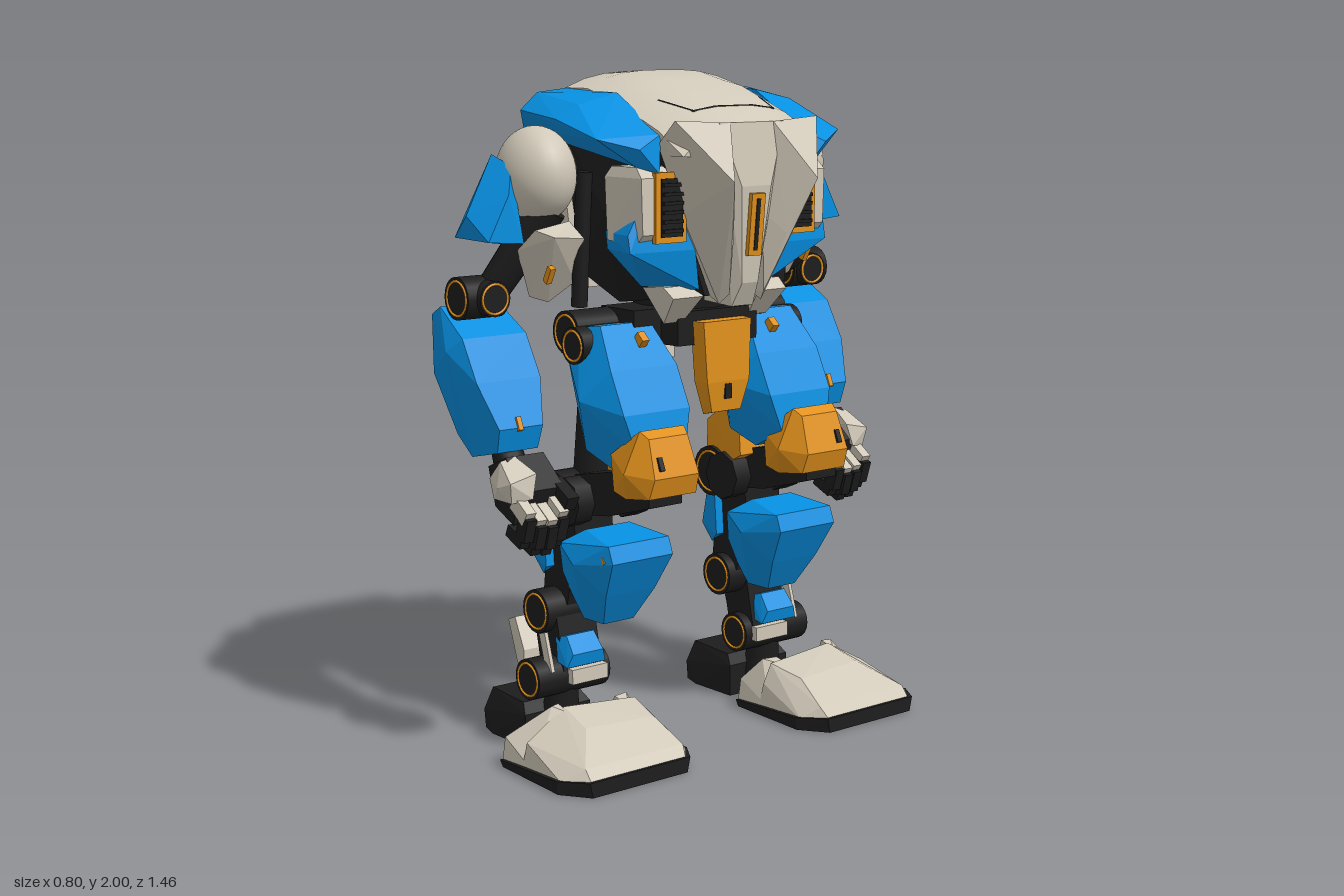
import * as THREE from 'three';
import { ConvexGeometry } from 'three/addons/geometries/ConvexGeometry.js';
import { toCreasedNormals } from 'three/addons/utils/BufferGeometryUtils.js';

const material = (name, color) => Object.assign(new THREE.MeshStandardMaterial({ color }), { name });
const cream = material('cream armour', 0xd0c8b8);
const blue = material('blue armour', 0x068fe0);
const orange = material('orange trim', 0xe0901a);
const dark = material('dark frame', 0x1d1d1d);

let side = 1; // +1 or -1: which side of the body is being built
const V = (x, y, z) => new THREE.Vector3(x, y, z * side);

function add(group, name, mat, geometry) {
  const mesh = new THREE.Mesh(geometry, mat);
  mesh.name = name;
  group.add(mesh);
  return mesh;
}

// Faceted solid through a set of points
const hull = (g, name, mat, pts) => add(g, name, mat, new ConvexGeometry(pts.map(p => V(...p))));

// Faceted solid from a side profile: [x, y, half width]
const plate = (g, name, mat, zc, profile) => hull(g, name, mat,
  profile.flatMap(([x, y, w]) => [[x, y, zc - w], [x, y, zc + w]]));

function box(g, name, mat, x, y, z, sx, sy, sz, rz = 0) {
  const m = add(g, name, mat, new THREE.BoxGeometry(sx, sy, sz));
  m.position.copy(V(x, y, z));
  m.rotation.z = rz;
  return m;
}

function rod(g, name, mat, a, b, r1, r2 = r1, sides = 16) {
  const A = V(...a), B = V(...b), d = B.clone().sub(A);
  const m = add(g, name, mat, new THREE.CylinderGeometry(r2, r1, d.length(), sides));
  m.position.copy(A).add(B).multiplyScalar(0.5);
  m.quaternion.setFromUnitVectors(new THREE.Vector3(0, 1, 0), d.normalize());
  return m;
}

// Sideways joint drum with an orange ring on each end
function joint(g, name, x, y, z0, z1, r) {
  rod(g, name, dark, [x, y, z0], [x, y, z1], r, r, 20);
  for (const z of [z0, z1]) {
    add(g, name + 'Ring', orange, new THREE.TorusGeometry(r * 0.8, 0.004, 6, 24)).position.copy(V(x, y, z));
  }
}

function buildTorso(g) {
  // Arched roof shell: x, crown height, edge height, half width
  const stations = [[-0.39, 1.81, 1.77, 0.27], [-0.35, 1.9, 1.85, 0.28], [-0.29, 1.96, 1.91, 0.283],
    [-0.22, 1.995, 1.95, 0.285], [-0.12, 2, 1.95, 0.28], [0, 1.975, 1.92, 0.275],
    [0.2, 1.91, 1.84, 0.27], [0.29, 1.86, 1.77, 0.25]];
  const roof = [];
  for (const [x, top, edge, w] of stations) {
    for (let i = -4; i <= 4; i++) roof.push([x, top - (top - edge) * Math.abs(i / 4) ** 3, w * i / 4]);
  }
  const shell = hull(g, 'roofShell', cream, roof);
  shell.geometry = toCreasedNormals(shell.geometry, 0.45);
  plate(g, 'backShell', cream, 0, [[-0.385, 1.84, 0.26], [-0.395, 1.75, 0.26], [-0.385, 1.56, 0.25], [-0.31, 1.36, 0.22],
    [-0.25, 1.35, 0.23], [-0.26, 1.84, 0.285], [-0.35, 1.82, 0.283], [-0.34, 1.55, 0.28]]);
  plate(g, 'bodyCore', dark, 0, [[-0.27, 1.4, 0.2], [-0.27, 1.86, 0.27], [0.2, 1.82, 0.27], [0.2, 1.36, 0.1],
    [-0.1, 1.32, 0.18], [0, 1.6, 0.31]]);
  // Back hatch
  box(g, 'hatchFrame', blue, -0.391, 1.675, 0, 0.012, 0.31, 0.23);
  box(g, 'hatch', dark, -0.395, 1.675, 0, 0.012, 0.27, 0.18);
  for (let i = 0; i < 4; i++) for (const z of [-0.04, 0.04]) {
    box(g, 'hatchSlot', blue, -0.402, 1.585 + i * 0.06, z, 0.003, 0.006, 0.03);
  }
  box(g, 'hatchLatch', blue, -0.383, 1.845, 0, 0.012, 0.03, 0.035, -0.5);
  // Chest keel
  plate(g, 'chestKeel', cream, 0, [[0.15, 1.86, 0.1], [0.29, 1.86, 0.12], [0.312, 1.68, 0.055], [0.285, 1.4, 0.03],
    [0.25, 1.33, 0.04], [0.15, 1.34, 0.06]]);
  box(g, 'keelFrame', orange, 0.305, 1.57, 0, 0.02, 0.18, 0.05, -0.1);
  box(g, 'keelSlot', dark, 0.309, 1.57, 0, 0.016, 0.15, 0.014, -0.1);
  // Bracket-shaped seam on the roof
  const seam = [[0.1, 1.92, 0.19], [0.21, 1.892, 0.15], [0.21, 1.903, 0.07], [0.21, 1.903, -0.07], [0.21, 1.892, -0.15], [0.1, 1.92, -0.19]];
  for (let i = 1; i < seam.length; i++) rod(g, 'roofSeam', dark, seam[i - 1], seam[i], 0.003, 0.003, 5);
  // Waist and pelvis
  rod(g, 'waist', dark, [-0.03, 1.2, 0], [-0.03, 1.4, 0], 0.13, 0.16, 12);
  box(g, 'pelvisBar', dark, -0.02, 1.265, 0, 0.16, 0.1, 0.5);
  box(g, 'pelvisFront', dark, 0.08, 1.26, 0, 0.12, 0.1, 0.3);
  plate(g, 'pelvisPlate', orange, 0, [[0.13, 1.28, 0.095], [0.185, 1.28, 0.09], [0.19, 1.1, 0.08], [0.18, 1.01, 0.055],
    [0.14, 1, 0.055], [0.13, 1.1, 0.08]]);
  box(g, 'pelvisSlot', dark, 0.187, 1.07, 0, 0.008, 0.045, 0.025);
  plate(g, 'tailPlate', cream, 0, [[-0.2, 1.4, 0.07], [-0.15, 1.4, 0.07], [-0.12, 1.13, 0.045], [-0.15, 1.12, 0.045]]);
}

function buildChestSide(g) {
  hull(g, 'chestWing', cream, [[0.27, 1.87, 0.265], [0.29, 1.86, 0.08], [0.4, 1.7, 0.155], [0.33, 1.54, 0.1],
    [0.27, 1.37, 0.065], [0.24, 1.34, 0.08], [0.2, 1.36, 0.08], [0.22, 1.6, 0.2], [0.2, 1.8, 0.27], [0.27, 1.6, 0.06]]);
  // Shoulder cover: high outer edge, dropping toward the chest
  hull(g, 'shoulderCover', blue, [[-0.28, 1.82, 0.27], [-0.27, 1.83, 0.4], [-0.22, 1.95, 0.27], [-0.2, 1.94, 0.4],
    [-0.2, 1.89, 0.46], [0, 1.94, 0.26], [0, 1.91, 0.4], [-0.02, 1.87, 0.465], [0.2, 1.83, 0.26], [0.22, 1.79, 0.35],
    [0.16, 1.82, 0.455], [0.22, 1.72, 0.28], [0.19, 1.74, 0.34], [0, 1.8, 0.3]]);
  hull(g, 'chestFlank', blue, [[0.19, 1.76, 0.18], [0.19, 1.74, 0.26], [0.19, 1.55, 0.37], [0.2, 1.5, 0.37],
    [0.2, 1.38, 0.12], [0.03, 1.38, 0.2], [0.04, 1.5, 0.33], [0.06, 1.55, 0.35], [0.08, 1.72, 0.26], [0.22, 1.5, 0.15]]);
  plate(g, 'backTrim', blue, 0.28, [[-0.345, 1.82, 0.012], [-0.305, 1.83, 0.012], [-0.3, 1.55, 0.012],
    [-0.27, 1.45, 0.012], [-0.3, 1.45, 0.012], [-0.345, 1.58, 0.012]]);
  // Side intake
  plate(g, 'intakeHousing', cream, 0.275, [[0.07, 1.71, 0.085], [0.09, 1.74, 0.075], [0.19, 1.74, 0.065], [0.22, 1.71, 0.07],
    [0.22, 1.55, 0.065], [0.19, 1.52, 0.065], [0.08, 1.53, 0.085]]);
  box(g, 'intakeFrame', orange, 0.221, 1.625, 0.245, 0.016, 0.2, 0.11);
  box(g, 'intakeGrille', dark, 0.227, 1.625, 0.245, 0.014, 0.165, 0.075);
  for (let i = 0; i < 6; i++) box(g, 'intakeLouvre', dark, 0.236, 1.56 + i * 0.026, 0.245, 0.012, 0.01, 0.07);
  plate(g, 'bellyPlate', cream, 0.16, [[0.05, 1.38, 0.05], [0.16, 1.39, 0.06], [0.2, 1.36, 0.055], [0.13, 1.28, 0.035]]);
}

function buildArm(g) {
  const ball = add(g, 'shoulderBall', cream, new THREE.SphereGeometry(1, 28, 18));
  ball.scale.set(0.137, 0.14, 0.107);
  ball.position.copy(V(-0.105, 1.71, 0.475));
  hull(g, 'upperArmGuard', blue, [[-0.16, 1.77, 0.59], [-0.09, 1.74, 0.57], [-0.26, 1.54, 0.58], [-0.25, 1.53, 0.66],
    [-0.06, 1.53, 0.67], [-0.06, 1.52, 0.55], [-0.15, 1.6, 0.685], [-0.15, 1.51, 0.54], [-0.06, 1.66, 0.6]]);
  rod(g, 'upperArm', dark, [-0.07, 1.62, 0.46], [-0.19, 1.37, 0.58], 0.06, 0.05, 10);
  rod(g, 'innerPiston', dark, [0, 1.72, 0.38], [-0.03, 1.33, 0.38], 0.024, 0.024, 10);
  hull(g, 'upperArmPlate', cream, [[-0.02, 1.58, 0.42], [-0.02, 1.56, 0.54], [0.02, 1.54, 0.5], [0.01, 1.53, 0.39],
    [-0.05, 1.4, 0.38], [-0.1, 1.34, 0.44], [-0.11, 1.36, 0.5], [-0.08, 1.5, 0.56], [-0.08, 1.5, 0.42]]);
  box(g, 'upperArmMark', orange, -0.022, 1.43, 0.49, 0.02, 0.05, 0.018, -0.5);
  // Elbow
  joint(g, 'elbow', -0.2, 1.36, 0.55, 0.69, 0.063);
  rod(g, 'elbowBoss', dark, [-0.2, 1.36, 0.61], [-0.12, 1.36, 0.61], 0.052);
  const ring = add(g, 'elbowBossRing', orange, new THREE.TorusGeometry(0.043, 0.004, 6, 24));
  ring.position.copy(V(-0.12, 1.36, 0.61));
  ring.rotation.y = Math.PI / 2;
  plate(g, 'forearm', blue, 0.595, [[-0.34, 1.3, 0.09], [-0.28, 1.33, 0.1], [-0.15, 1.25, 0.11], [-0.08, 1.13, 0.11],
    [-0.02, 1, 0.075], [-0.04, 0.93, 0.07], [-0.17, 0.9, 0.07], [-0.23, 0.96, 0.08], [-0.32, 1.13, 0.1], [-0.2, 1.21, 0.135]]);
  box(g, 'forearmMark', orange, -0.027, 1.01, 0.6, 0.018, 0.04, 0.016, 0.4);
  // Hand with four curled fingers and a thumb
  rod(g, 'wrist', dark, [-0.09, 0.93, 0.6], [-0.06, 0.86, 0.6], 0.045, 0.05, 12);
  plate(g, 'palm', dark, 0.585, [[-0.11, 0.88, 0.065], [-0.02, 0.92, 0.065], [0.06, 0.83, 0.08], [0.02, 0.73, 0.07], [-0.07, 0.77, 0.07]]);
  hull(g, 'handGuard', cream, [[-0.1, 0.86, 0.62], [-0.09, 0.85, 0.66], [-0.02, 0.92, 0.62], [-0.02, 0.91, 0.67], [0.06, 0.88, 0.6],
    [0.06, 0.86, 0.69], [0.05, 0.8, 0.68], [0.07, 0.81, 0.62], [-0.04, 0.8, 0.68], [0, 0.84, 0.695]]);
  [0, 0.02, 0.015, -0.01].forEach((drop, i) => {
    const z = 0.535 + i * 0.038;
    box(g, 'fingerBase', cream, 0.06, 0.77 - drop, z, 0.075, 0.045, 0.033, -0.6);
    box(g, 'fingerMiddle', dark, 0.075, 0.72 - drop, z, 0.045, 0.07, 0.033, -0.3);
    box(g, 'fingerTip', dark, 0.035, 0.69 - drop, z, 0.075, 0.036, 0.032, -0.4);
  });
  box(g, 'thumb', dark, 0.06, 0.81, 0.51, 0.1, 0.045, 0.04, -0.5);
}

function buildLeg(g) {
  // Hip and thigh
  joint(g, 'hip', -0.07, 1.25, 0.2, 0.4, 0.065);
  joint(g, 'hipFront', -0.01, 1.22, 0.18, 0.42, 0.055);
  plate(g, 'thigh', blue, 0.275, [[-0.06, 1.2, 0.13], [-0.03, 1.27, 0.11], [0.05, 1.28, 0.09], [0.14, 1.16, 0.12],
    [0.2, 1.04, 0.12], [0.22, 0.93, 0.09], [0.1, 0.87, 0.09], [-0.01, 0.91, 0.1], [0.06, 1.07, 0.175]]);
  box(g, 'thighMark', orange, 0.095, 1.235, 0.25, 0.03, 0.035, 0.025, 0.85);
  rod(g, 'thighStrut', dark, [-0.04, 1.2, 0.3], [-0.08, 0.78, 0.3], 0.055, 0.06, 10);
  plate(g, 'kneeGuard', orange, 0.29, [[0.13, 0.81, 0.09], [0.13, 0.92, 0.1], [0.24, 1, 0.08], [0.27, 0.98, 0.07],
    [0.31, 0.87, 0.08], [0.29, 0.81, 0.085], [0.2, 0.8, 0.1], [0.23, 0.88, 0.13]]);
  box(g, 'kneeSlot', dark, 0.298, 0.91, 0.34, 0.01, 0.04, 0.016, 0.4);
  plate(g, 'innerKneeGuard', orange, 0.235, [[-0.14, 0.82, 0.045], [-0.13, 0.92, 0.05], [-0.06, 0.97, 0.045], [0.02, 0.93, 0.05],
    [0.04, 0.83, 0.06], [-0.04, 0.79, 0.055]]);
  box(g, 'innerKneeSlot', dark, -0.136, 0.87, 0.235, 0.012, 0.04, 0.016);
  plate(g, 'kneeBeam', dark, 0.3, [[-0.1, 0.82, 0.08], [-0.1, 0.7, 0.08], [0.1, 0.73, 0.075], [0.27, 0.78, 0.06],
    [0.27, 0.81, 0.06], [0.1, 0.86, 0.07]]);
  joint(g, 'knee', -0.1, 0.76, 0.17, 0.43, 0.078);
  for (const z of [0.195, 0.405]) rod(g, 'kneeHub', dark, [-0.04, 0.755, z - 0.03], [-0.04, 0.755, z + 0.03], 0.075, 0.075, 8);
  // Shin
  plate(g, 'shinCore', dark, 0.33, [[-0.16, 0.74, 0.07], [-0.04, 0.74, 0.07], [-0.03, 0.6, 0.07], [-0.08, 0.42, 0.07],
    [-0.2, 0.42, 0.07], [-0.18, 0.56, 0.07]]);
  plate(g, 'shinGuard', blue, 0.32, [[-0.07, 0.54, 0.1], [-0.03, 0.64, 0.14], [0.02, 0.68, 0.08], [0.17, 0.66, 0.11],
    [0.19, 0.61, 0.11], [0.13, 0.5, 0.09], [0.07, 0.4, 0.055], [-0.02, 0.4, 0.06], [-0.06, 0.46, 0.07], [0.05, 0.59, 0.15]]);
  box(g, 'shinMark', orange, 0.135, 0.6, 0.43, 0.06, 0.02, 0.02, 0.7);
  plate(g, 'calfGuard', blue, 0.33, [[-0.15, 0.67, 0.1], [-0.2, 0.67, 0.09], [-0.235, 0.56, 0.08], [-0.21, 0.5, 0.06], [-0.14, 0.54, 0.1]]);
  joint(g, 'lowerJoint', -0.14, 0.41, 0.23, 0.47, 0.066);
  plate(g, 'ankleStrut', dark, 0.37, [[-0.2, 0.42, 0.07], [-0.08, 0.42, 0.07], [-0.04, 0.24, 0.07], [-0.15, 0.2, 0.07]]);
  joint(g, 'ankle', -0.1, 0.22, 0.27, 0.53, 0.062);
  box(g, 'anklePlate', cream, -0.03, 0.225, 0.36, 0.025, 0.045, 0.13);
  plate(g, 'ankleGuard', blue, 0.38, [[-0.08, 0.34, 0.06], [-0.04, 0.35, 0.05], [0, 0.3, 0.055], [-0.01, 0.26, 0.07], [-0.06, 0.27, 0.07]]);
  plate(g, 'heelSpur', cream, 0.42, [[-0.3, 0.35, 0.04], [-0.25, 0.37, 0.05], [-0.19, 0.28, 0.06], [-0.19, 0.23, 0.06], [-0.24, 0.23, 0.05]]);
  box(g, 'ankleSidePlate', cream, -0.07, 0.3, 0.48, 0.03, 0.12, 0.012, 0.3);
  // Foot: heel block, sole, and an open-backed toe cap
  plate(g, 'heel', dark, 0.4, [[-0.365, 0, 0.105], [-0.365, 0.06, 0.11], [-0.345, 0.13, 0.09], [-0.16, 0.13, 0.105],
    [-0.13, 0.1, 0.12], [-0.13, 0, 0.12], [-0.3, 0, 0.125]]);
  rod(g, 'footLink', dark, [-0.1, 0.2, 0.4], [-0.12, 0.06, 0.4], 0.045, 0.06, 8);
  rod(g, 'toeLink', dark, [-0.15, 0.1, 0.4], [0.08, 0.06, 0.42], 0.03, 0.03, 8);
  plate(g, 'sole', dark, 0.45, [[-0.03, 0, 0.22], [-0.03, 0.025, 0.23], [0.26, 0.04, 0.235], [0.345, 0.045, 0.18],
    [0.345, 0, 0.17], [0.26, 0, 0.23]]);
  hull(g, 'toeCap', cream, [[0.07, 0.025, 0.23], [0.07, 0.025, 0.67], [0.27, 0.035, 0.225], [0.27, 0.035, 0.675],
    [0.335, 0.045, 0.28], [0.335, 0.045, 0.62], [0.31, 0.075, 0.27], [0.31, 0.075, 0.62], [0.2, 0.135, 0.29],
    [0.19, 0.145, 0.53], [0.08, 0.16, 0.27], [0.07, 0.178, 0.52], [0.08, 0.1, 0.24], [0.08, 0.1, 0.66]]);
  hull(g, 'outerFootWall', cream, [[-0.03, 0.025, 0.56], [-0.03, 0.025, 0.67], [-0.03, 0.09, 0.66], [-0.03, 0.09, 0.56],
    [0.04, 0.18, 0.52], [0.05, 0.18, 0.55], [0.1, 0.165, 0.52], [0.12, 0.03, 0.67], [0.12, 0.03, 0.52]]);
  hull(g, 'innerFootWall', cream, [[-0.03, 0.025, 0.23], [-0.03, 0.025, 0.29], [-0.03, 0.09, 0.24], [-0.03, 0.09, 0.29],
    [0.04, 0.165, 0.27], [0.05, 0.165, 0.32], [0.12, 0.15, 0.32], [0.12, 0.03, 0.23], [0.12, 0.03, 0.32]]);
}

export function createModel() {
  const model = new THREE.Group();
  model.name = 'walkingRobot';
  const section = (name, build) => {
    const g = new THREE.Group();
    g.name = name;
    build(g);
    model.add(g);
  };
  section('torso', buildTorso);
  for (const [s, label] of [[1, 'A'], [-1, 'B']]) {
    side = s;
    section('chestSide' + label, buildChestSide);
    section('arm' + label, buildArm);
    section('leg' + label, buildLeg);
  }
  side = 1;
  return model;
}
